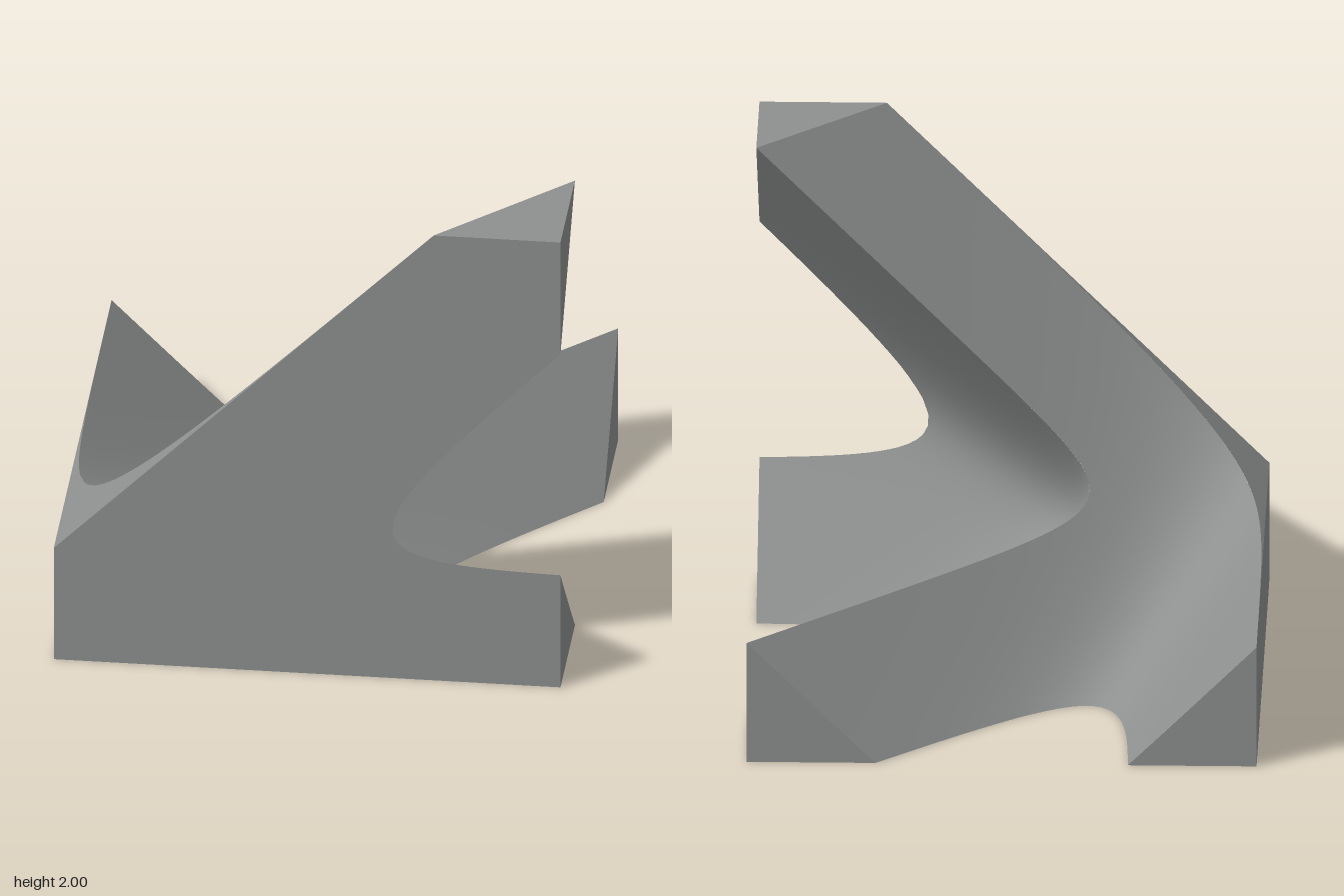
import * as THREE from 'three';
import { mergeVertices } from 'three/addons/utils/BufferGeometryUtils.js';

// A lattice corner joint in a 2-unit cube. Points are (a, b, c), measured from the
// corner where the struts meet: a to the right, b up, c towards the back.
const SIZE = 2, R = 0.5, K = 4.15;

// Smooth union of struts: negative inside, zero on the surface
const blend = (...d) => -Math.log(d.reduce((s, v) => s + Math.exp(-K * (v - R)), 0)) / K;
const inner = ({ x: a, y: b, z: c }) => blend(a - b + c, a + b - c, b + c, a + b);
const outer = ({ x: a, y: b, z: c }) => blend(b + c - a, a + b, b + c, b + c);
const bevel = ({ x: a, y: b }) => b - a - R;
const box = ['x', 'y', 'z'].flatMap(k => [p => -p[k], p => p[k] - SIZE]);

// Keep the part of a polygon where f <= 0
function clip(poly, f) {
  const out = [];
  poly.forEach((p, i) => {
    const q = poly[(i + 1) % poly.length];
    const fp = f(p), fq = f(q);
    if (fp <= 1e-9) out.push(p);
    if ((fp <= 1e-9) !== (fq <= 1e-9)) out.push(p.clone().lerp(q, fp / (fp - fq)));
  });
  return out;
}

// Grid of points from point(s, t), trimmed by the clip functions and facing outward
function patch(point, [s0, s1, ns], [t0, t1, nt], clips, outward) {
  const grid = [];
  for (let i = 0; i <= ns; i++) {
    grid.push([]);
    for (let j = 0; j <= nt; j++) {
      grid[i].push(point(s0 + (s1 - s0) * i / ns, t0 + (t1 - t0) * j / nt));
    }
  }
  const pos = [], normal = new THREE.Vector3(), edge = new THREE.Vector3();
  const addTriangle = (p, q, r) => {
    normal.subVectors(q, p).cross(edge.subVectors(r, p));
    if (normal.lengthSq() < 1e-16) return;
    // the c axis runs against z, which reverses the winding
    const order = normal.dot(outward) > 0 ? [p, r, q] : [p, q, r];
    for (const v of order) pos.push(v.x - 1, v.y, 1 - v.z);
  };
  for (let i = 0; i < ns; i++) {
    for (let j = 0; j < nt; j++) {
      const A = grid[i][j], B = grid[i + 1][j], C = grid[i + 1][j + 1], D = grid[i][j + 1];
      for (const tri of [[A, B, C], [A, C, D]]) {
        const poly = clips.reduce((p, f) => (p.length ? clip(p, f) : p), tri);
        for (let n = 1; n + 1 < poly.length; n++) addTriangle(poly[0], poly[n], poly[n + 1]);
      }
    }
  }
  let geo = new THREE.BufferGeometry();
  geo.setAttribute('position', new THREE.Float32BufferAttribute(pos, 3));
  geo = mergeVertices(geo, 1e-5);
  geo.computeVertexNormals();
  return geo;
}

// Point of the surface f = 0 on the diagonal ray with a - b = p and a - c = q
function onSurface(f, p, q) {
  let lo = -4, hi = 7;
  const at = t => new THREE.Vector3(t, t - p, t - q);
  for (let i = 0; i < 40; i++) {
    const mid = (lo + hi) / 2;
    if (f(at(mid)) > 0) hi = mid; else lo = mid;
  }
  return at((lo + hi) / 2);
}

export function createModel() {
  const group = new THREE.Group();
  const grey = new THREE.MeshStandardMaterial({ color: 0x8e9090 });
  grey.name = 'grey';
  const add = (name, geo) => {
    const mesh = new THREE.Mesh(geo, grey);
    mesh.name = name;
    group.add(mesh);
  };
  const V = (a, b, c) => new THREE.Vector3(a, b, c);

  // Curved skins, meeting along a sharp ridge
  const skin = (name, f, other) => add(name, patch((p, q) => onSurface(f, p, q),
    [-0.5, 2, 50], [-2, 2, 80], [...box, bevel, other], V(1, 1, 1)));
  skin('innerSaddle', inner, outer);
  skin('outerSaddle', outer, inner);

  // Flat faces on the cube sides, and the strut ends
  const span = [0, SIZE, 48];
  const flat = (name, point, outward) =>
    add(name, patch(point, span, span, [bevel, inner, outer], outward));
  flat('frontFace', (s, t) => V(s, t, 0), V(0, 0, -1));
  flat('backEnds', (s, t) => V(s, t, SIZE), V(0, 0, 1));
  flat('bottomFace', (s, t) => V(s, 0, t), V(0, -1, 0));
  flat('topEnd', (s, t) => V(s, SIZE, t), V(0, 1, 0));
  flat('leftFace', (s, t) => V(0, s, t), V(-1, 0, 0));
  flat('rightEnds', (s, t) => V(SIZE, s, t), V(1, 0, 0));

  // Sloping bevel along the upper strut, finely divided where it is narrow
  add('bevelFace', patch((s, t) => V(s, s + R, SIZE * t * t),
    [0, 1.5, 60], [0, 1, 60], [inner, outer], V(-1, 1, 0)));

  return group;
}
